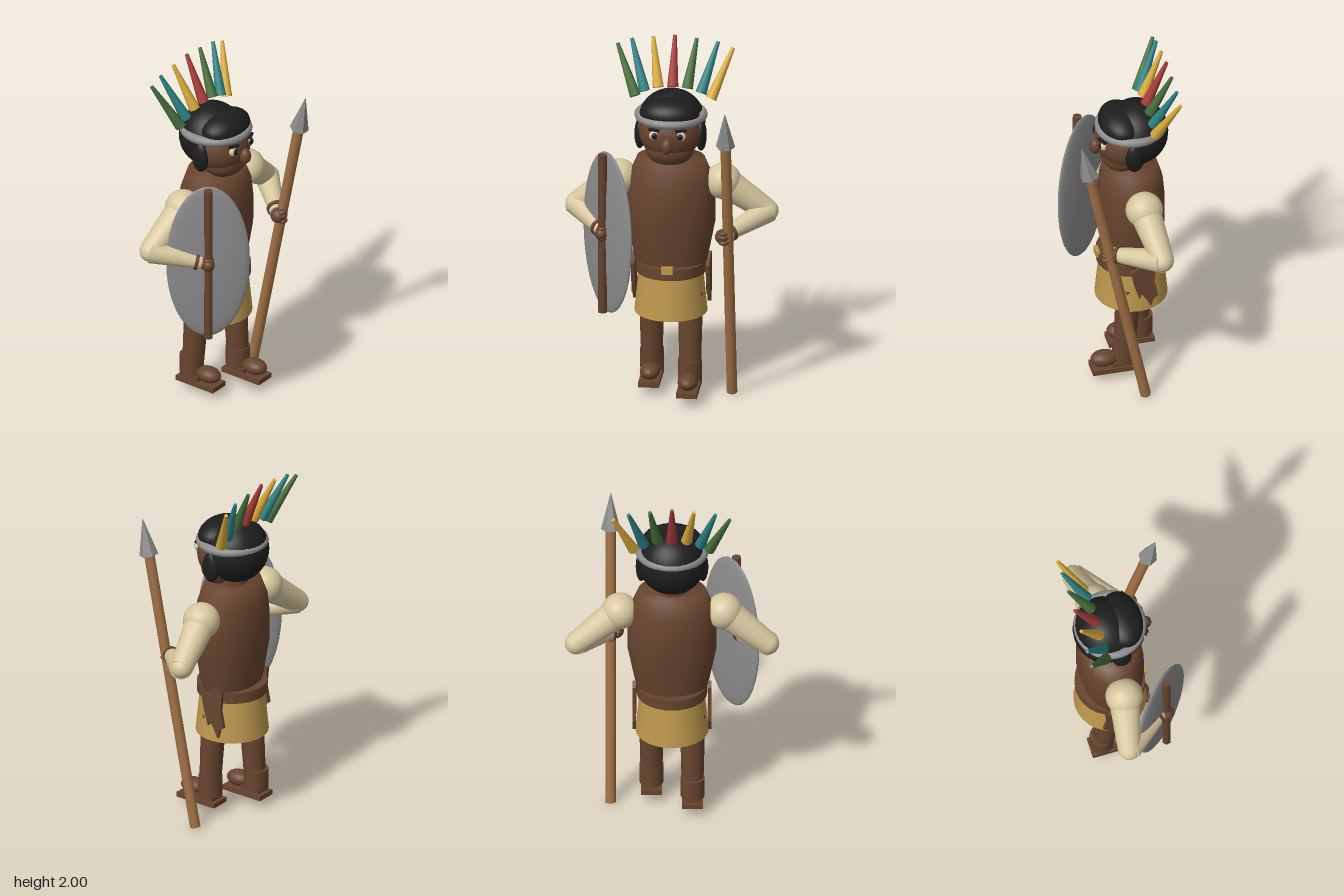
import * as THREE from 'three';

const mat = (name, color) => {
  const m = new THREE.MeshStandardMaterial({ color });
  m.name = name;
  return m;
};

export function createModel() {
  const brown = mat('brown', 0x67442e), black = mat('black', 0x1d1d1d), grey = mat('grey', 0x8c8c8c);
  const cream = mat('cream', 0xd8c8a0), tan = mat('tan', 0xbf994e), wood = mat('wood', 0xa07045);
  const green = mat('green', 0x466f3c), teal = mat('teal', 0x2d8286), yellow = mat('yellow', 0xd8ab3a), red = mat('red', 0xa83a3a);
  const root = new THREE.Group();
  root.name = 'warrior';
  const V = (a) => new THREE.Vector3(...a);

  const add = (name, geo, material, pos = [0, 0, 0], parent = root) => {
    const m = new THREE.Mesh(geo, material);
    m.name = name;
    m.position.set(...pos);
    parent.add(m);
    return m;
  };
  const ball = (name, material, pos, r, parent = root) => {
    const m = add(name, new THREE.SphereGeometry(1, 28, 18), material, pos, parent);
    m.scale.set(...r);
    return m;
  };
  const box = (name, material, pos, size) => add(name, new THREE.BoxGeometry(...size), material, pos);
  // Tapered rod from point a (radius ra) to point b (radius rb)
  const rod = (name, material, a, b, ra, rb, sides = 20) => {
    const d = V(b).sub(V(a));
    const m = add(name, new THREE.CylinderGeometry(rb, ra, d.length(), sides), material);
    m.position.copy(V(a)).addScaledVector(d, 0.5);
    m.quaternion.setFromUnitVectors(new THREE.Vector3(0, 1, 0), d.normalize());
    return m;
  };
  const between = (a, b, t) => V(a).lerp(V(b), t).toArray();

  // Torso: lathe profile squashed front to back
  const profile = [[0, 0.74], [0.19, 0.74], [0.2, 0.78], [0.243, 1.0], [0.243, 1.15], [0.23, 1.26], [0.185, 1.37], [0, 1.372]];
  const torso = add('torso', new THREE.LatheGeometry(profile.map((p) => new THREE.Vector2(...p)), 28), brown, [-0.08, 0, 0]);
  torso.scale.x = 0.74;
  rod('neck', brown, [-0.08, 1.33, 0], [-0.07, 1.45, 0], 0.09, 0.09);

  // Skirt, belt, buckle
  add('skirt', new THREE.CylinderGeometry(0.172, 0.2, 0.29, 28), tan, [-0.08, 0.62, 0]);
  add('belt', new THREE.CylinderGeometry(0.193, 0.193, 0.062, 28), brown, [-0.08, 0.742, 0]);
  box('buckle', tan, [0.112, 0.772, 0], [0.02, 0.042, 0.062]);

  // Ragged hide flaps at both hips
  const flapShape = new THREE.Shape([[-0.17, 0.79], [-0.15, 0.78], [-0.12, 0.81], [-0.08, 0.78], [-0.03, 0.75],
    [-0.05, 0.65], [-0.075, 0.57], [-0.09, 0.6], [-0.115, 0.56], [-0.14, 0.51], [-0.155, 0.56], [-0.18, 0.58], [-0.16, 0.68]].map((p) => new THREE.Vector2(...p)));
  for (const s of [1, -1]) {
    add('hipFlap', new THREE.ExtrudeGeometry(flapShape, { depth: 0.02, bevelEnabled: false }), brown, [0, 0, s * 0.205 - 0.01]);
  }

  // Legs in mid stride, with ankle cuffs, toes and sandal soles
  for (const [side, z, ankleX, hipX] of [['left', 0.112, -0.155, -0.12], ['right', -0.112, -0.01, -0.04]]) {
    rod(side + 'Leg', brown, [ankleX, 0.1, z], [hipX, 0.6, z], 0.058, 0.07);
    rod(side + 'AnkleCuff', brown, [ankleX - 0.005, 0.1, z], [ankleX - 0.005, 0.215, z], 0.066, 0.066);
    ball(side + 'Toes', brown, [ankleX + 0.11, 0.122, z], [0.075, 0.044, 0.055]);
    box(side + 'Heel', brown, [ankleX + 0.01, 0.09, z], [0.12, 0.03, 0.09]);
    box(side + 'Sole', brown, [ankleX + 0.055, 0.065, z], [0.255, 0.028, 0.114]);
  }

  // Arms with sleeves, wristbands and fists
  const arms = [['left', 1, [0.115, 0.985, 0.345]], ['right', -1, [0.115, 0.985, -0.305]]];
  for (const [side, s, hand] of arms) {
    const shoulder = [-0.085, 1.235, s * 0.285], elbow = [-0.13, 1.055, s * 0.525];
    ball(side + 'Shoulder', cream, shoulder, [0.103, 0.1, 0.1]);
    rod(side + 'UpperArm', cream, shoulder, elbow, 0.088, 0.062);
    rod(side + 'Forearm', cream, elbow, between(elbow, hand, 0.92), 0.068, 0.04);
    ball(side + 'Elbow', cream, elbow, [0.06, 0.06, 0.06]);
    rod(side + 'Wristband', brown, between(elbow, hand, 0.8), between(elbow, hand, 0.86), 0.052, 0.05);
    ball(side + 'Fist', brown, hand, [0.042, 0.042, 0.042]);
    for (const dy of [-0.025, 0.005, 0.03]) ball(side + 'Finger', brown, [hand[0] + 0.022, hand[1] + dy, hand[2] + s * 0.008], [0.03, 0.016, 0.03]);
  }

  // Head
  ball('skull', brown, [-0.05, 1.53, 0], [0.165, 0.16, 0.172]);
  ball('jaw', brown, [-0.02, 1.445, 0], [0.115, 0.105, 0.135]);
  ball('nose', brown, [0.12, 1.5, 0], [0.035, 0.045, 0.032]);
  for (const s of [1, -1]) {
    ball('eye', cream, [0.094, 1.552, s * 0.075], [0.018, 0.026, 0.026]);
    ball('pupil', black, [0.107, 1.552, s * 0.071], [0.011, 0.019, 0.016]);
    const brow = box('eyebrow', black, [0.1, 1.586, s * 0.075], [0.02, 0.01, 0.06]);
    brow.rotation.y = s * -0.4;
    ball('sideLock', black, [-0.06, 1.505, s * 0.168], [0.052, 0.088, 0.03]);
  }
  ball('hair', black, [-0.112, 1.565, 0], [0.172, 0.18, 0.185]);
  ball('frontHair', black, [-0.015, 1.645, 0], [0.115, 0.085, 0.165]);
  const band = add('headband', new THREE.TorusGeometry(0.175, 0.025, 12, 36), grey, [-0.08, 1.615, 0]);
  band.rotation.x = Math.PI / 2;

  // Feather crest fanned across the head
  const feathers = [
    [green, 0.205, 1.68, 0.315, 1.94], [teal, 0.155, 1.71, 0.237, 1.972], [yellow, 0.08, 1.735, 0.12, 1.987], [red, 0, 1.74, 0, 2.0],
    [green, -0.08, 1.735, -0.12, 1.987], [teal, -0.155, 1.71, -0.237, 1.972], [yellow, -0.21, 1.68, -0.32, 1.94],
  ];
  for (const [m, z0, y0, z1, y1] of feathers) rod('feather', m, [-0.165, y0, z0], [-0.28, y1, z1], 0.031, 0.01, 10);

  // Shield: thin ellipsoid turned outwards, with a wooden spine on its face
  const shield = new THREE.Group();
  shield.name = 'shield';
  shield.position.set(0.113, 0.985, 0.325);
  shield.rotation.y = 0.716;
  root.add(shield);
  ball('shieldBoard', grey, [0, 0, 0], [0.229, 0.467, 0.03], shield);
  add('shieldSpine', new THREE.CylinderGeometry(0.026, 0.026, 0.92, 6), brown, [0, 0, 0.035], shield);
  ball('shieldBoss', brown, [0, 0, 0.045], [0.034, 0.034, 0.034], shield);

  // Spear, leaning forward
  rod('spearShaft', wood, [-0.08, 0.006, -0.335], [0.236, 1.57, -0.335], 0.029, 0.029, 12);
  const tip = rod('spearHead', grey, [0.236, 1.56, -0.335], [0.28, 1.765, -0.335], 0.053, 0.001, 6);
  tip.geometry = tip.geometry.toNonIndexed();
  tip.geometry.computeVertexNormals();

  return root;
}
